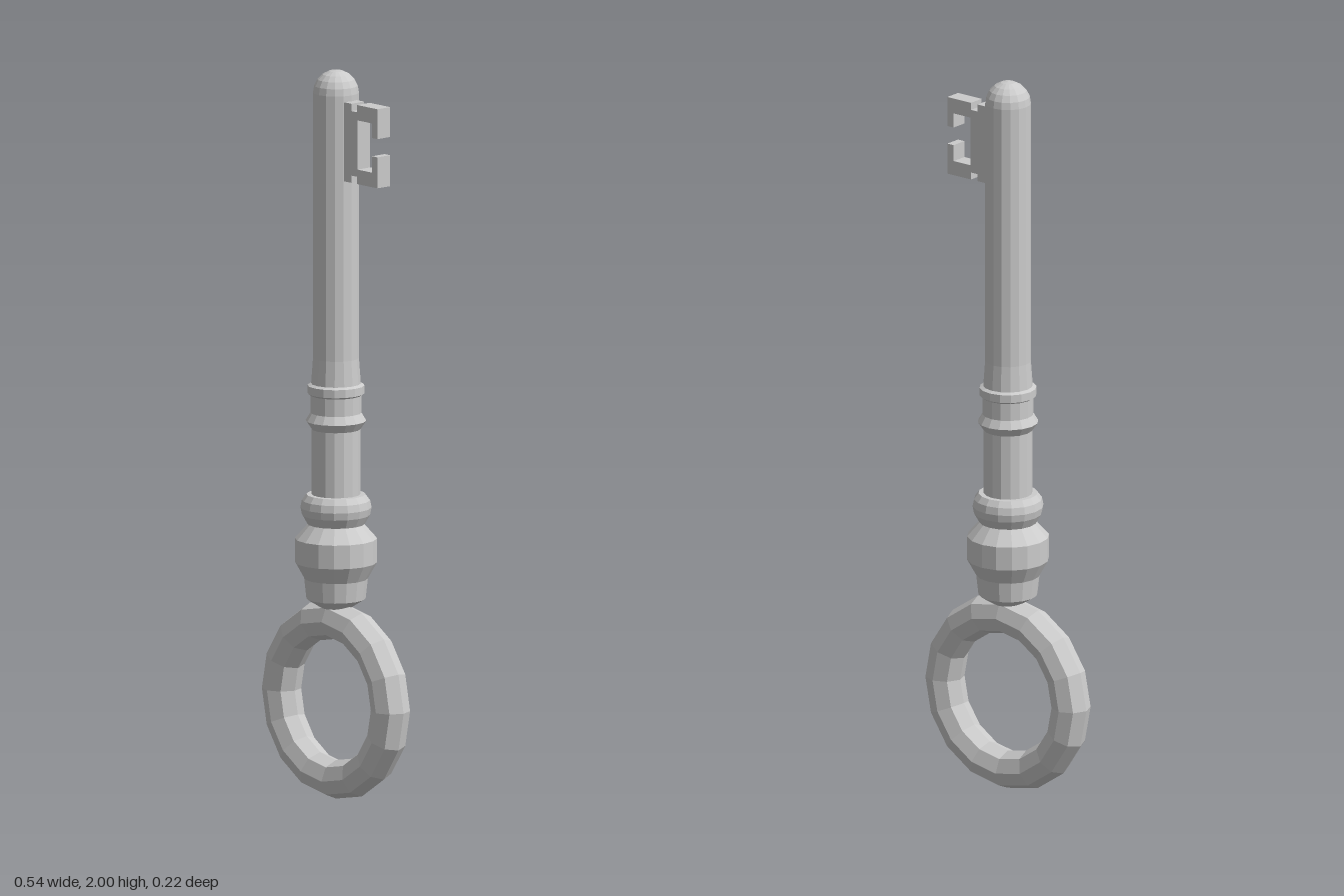
import * as THREE from 'three';

const material = new THREE.MeshStandardMaterial({ color: 0xcccccc, flatShading: true });

function addPart(group, name, geometry) {
  const mesh = new THREE.Mesh(geometry, material);
  mesh.name = name;
  group.add(mesh);
  return mesh;
}

// Turned part from [radius, height] pairs, listed bottom to top
function turned(points) {
  return new THREE.LatheGeometry(points.map(([r, y]) => new THREE.Vector2(r, y)), 16);
}

export function createModel() {
  const key = new THREE.Group();
  key.name = 'key';

  // Ring handle
  const bow = addPart(key, 'ringHandle', new THREE.TorusGeometry(0.219, 0.053, 8, 16));
  bow.position.y = 0.272;

  // Vase-shaped collar above the ring
  addPart(key, 'collar', turned([
    [0, 0.52], [0.04, 0.525], [0.08, 0.55], [0.086, 0.605],
    [0.111, 0.65], [0.111, 0.715], [0.075, 0.755], [0, 0.755],
  ]));

  // Rounded bead
  addPart(key, 'bead', turned([
    [0, 0.75], [0.078, 0.755], [0.092, 0.78], [0.096, 0.8],
    [0.092, 0.82], [0.08, 0.836], [0, 0.838],
  ]));

  // Lower stem with its two thin rings
  addPart(key, 'stem', turned([
    [0, 0.83], [0.066, 0.83], [0.066, 1.015], [0.082, 1.038], [0.069, 1.06],
    [0.069, 1.108], [0.077, 1.113], [0.077, 1.135], [0.067, 1.14], [0.062, 1.21],
  ]));

  // Shaft with a domed tip
  const shaft = [[0, 1.18], [0.062, 1.18]];
  for (let i = 0; i <= 5; i++) {
    const a = (i / 5) * Math.PI / 2;
    shaft.push([0.062 * Math.cos(a), 1.938 + 0.062 * Math.sin(a)]);
  }
  addPart(key, 'shaft', turned(shaft));

  // Bit: a C-shaped plate with a small notch above and below
  const outline = [
    [0.04, 1.705], [0.087, 1.705], [0.087, 1.725], [0.11, 1.725], [0.11, 1.705],
    [0.192, 1.705], [0.192, 1.79], [0.17, 1.79], [0.17, 1.745], [0.112, 1.745],
    [0.112, 1.88], [0.17, 1.88], [0.17, 1.84], [0.192, 1.84], [0.192, 1.922],
    [0.11, 1.922], [0.11, 1.902], [0.087, 1.902], [0.087, 1.922], [0.04, 1.922],
  ];
  const shape = new THREE.Shape(outline.map(([x, y]) => new THREE.Vector2(x, y)));
  const bit = new THREE.ExtrudeGeometry(shape, { depth: 0.046, bevelEnabled: false });
  addPart(key, 'bit', bit.translate(0, 0, -0.023));

  return key;
}
